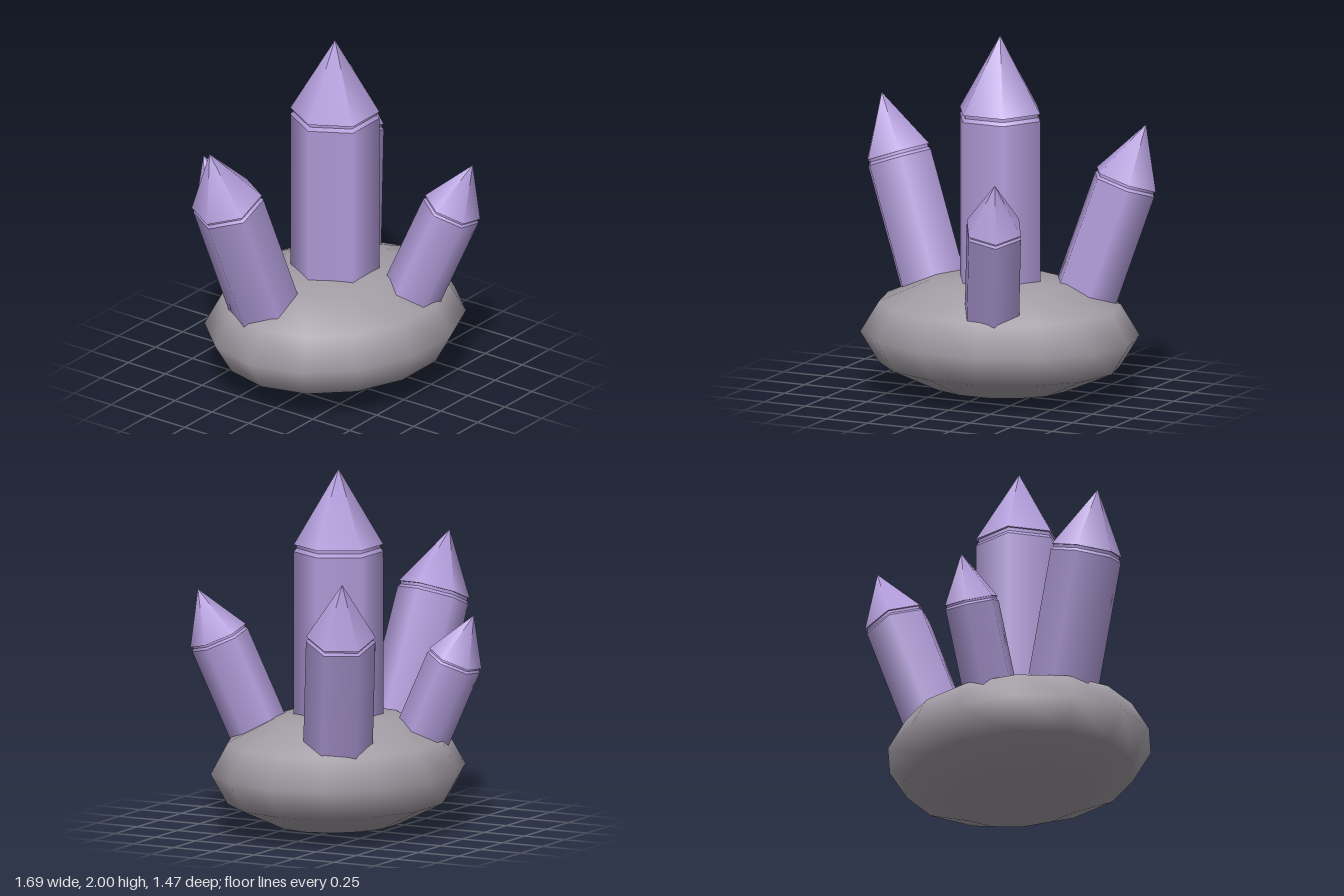
import * as THREE from 'three';

const purple = new THREE.MeshStandardMaterial({ color: 0xb39ddb });
purple.name = 'amethystPurple';
const grey = new THREE.MeshStandardMaterial({ color: 0xa39da5 });
grey.name = 'rockGrey';

// Six-sided crystal: shaft, small bevel, recessed neck and pointed tip.
// Its origin is the centre of the tip's base; the shaft runs down from there.
function makeCrystal(name, radius, center, direction, bottomY) {
  const crystal = new THREE.Group();
  crystal.name = name;
  const dir = new THREE.Vector3(...direction).normalize();
  const length = (center[1] - bottomY) / dir.y;
  const bevel = radius * 0.08;
  const inner = radius * 0.94;

  const add = (partName, geometry, y) => {
    geometry.rotateY(Math.PI / 2); // corners on the x axis
    const mesh = new THREE.Mesh(geometry, purple);
    mesh.name = partName;
    mesh.position.y = y;
    crystal.add(mesh);
  };

  const shaftTop = -bevel * 2;
  const shaftLength = length + shaftTop;
  add('shaft', new THREE.CylinderGeometry(radius, radius, shaftLength, 6), shaftTop - shaftLength / 2);
  add('bevel', new THREE.CylinderGeometry(inner, radius, bevel, 6), shaftTop + bevel / 2);
  add('neck', new THREE.CylinderGeometry(inner, inner, bevel, 6), -bevel / 2);
  const tipHeight = radius * 1.71;
  add('tip', new THREE.ConeGeometry(radius, tipHeight, 6), tipHeight / 2);

  crystal.position.set(...center);
  crystal.quaternion.setFromUnitVectors(new THREE.Vector3(0, 1, 0), dir);
  return crystal;
}

export function createModel() {
  const model = new THREE.Group();
  model.name = 'crystalCluster';

  // Flattened rock base
  const rock = new THREE.Mesh(new THREE.SphereGeometry(1, 14, 6), grey);
  rock.name = 'rockBase';
  rock.scale.set(0.785, 0.338, 0.674);
  rock.position.set(0.06, 0.338, -0.01);
  model.add(rock);

  // Crystals: name, radius, centre of tip base, growth direction, buried end height
  const crystals = [
    ['mainCrystal', 0.245, [0.06, 1.581, -0.012], [0, 1, 0], 0.4],
    ['rightCrystal', 0.2, [-0.66, 1.24, -0.215], [-0.36, 1, -0.1], 0.35],
    ['leftCrystal', 0.19, [0.66, 1.185, -0.355], [0.297, 1, -0.19], 0.35],
    ['frontCrystal', 0.165, [0.32, 1.065, 0.595], [0.205, 1, 0.375], 0.35],
    ['backCrystal', 0.155, [-0.168, 0.965, -0.615], [-0.1, 1, -0.42], 0.35],
  ];
  for (const c of crystals) model.add(makeCrystal(...c));

  return model;
}
